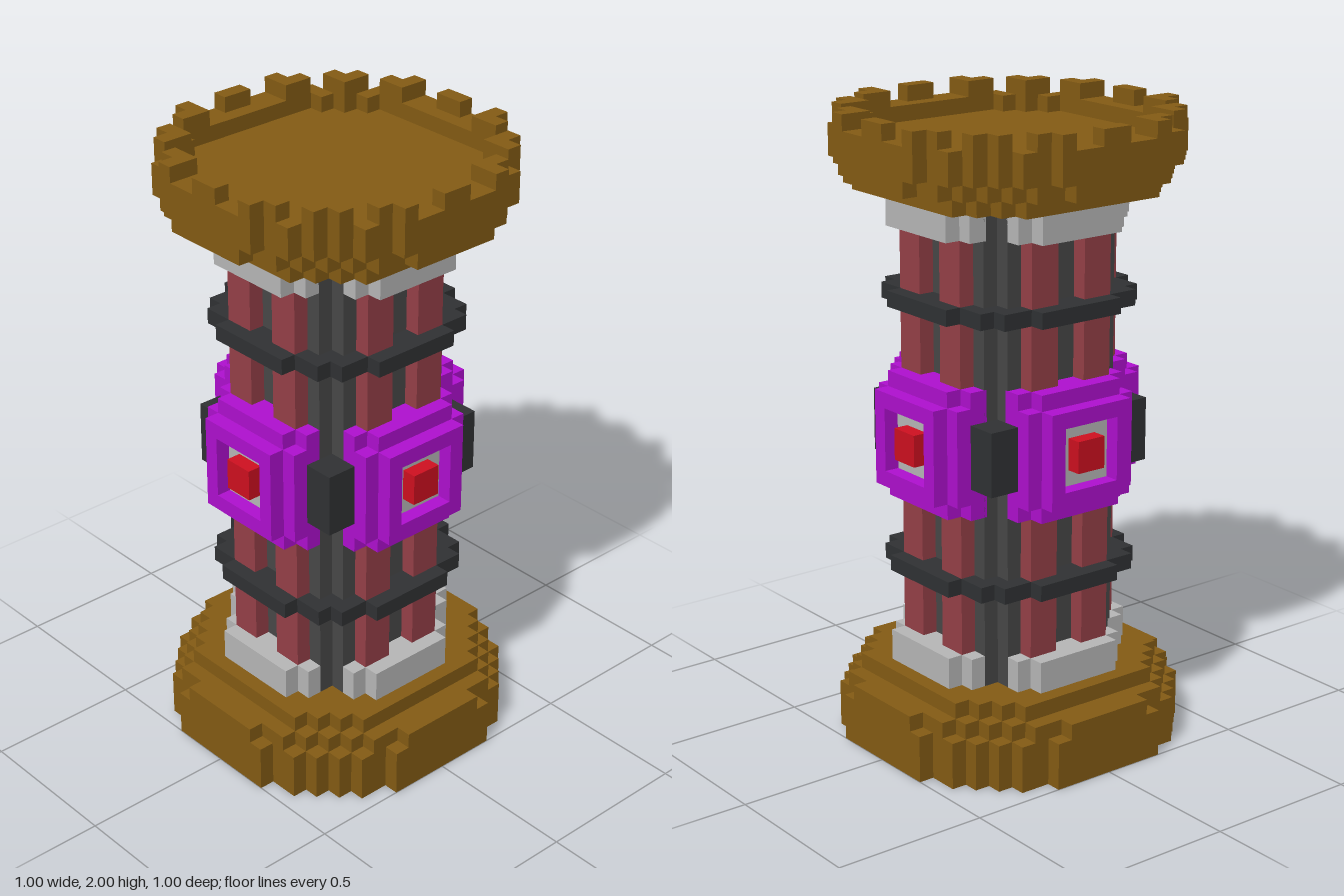
import * as THREE from 'three';

const mat = (color) => new THREE.MeshStandardMaterial({ color, flatShading: true });
const BROWN = mat(0x855c14), BRICK = mat(0x964048), DARK = mat(0x484848), BLACK = mat(0x303234),
  PURPLE = mat(0xb010d0), GREY = mat(0xb8b8b8), RED = mat(0xd01020);

// Box given by its min and max corners
function block(parent, name, m, x0, x1, y0, y1, z0, z1) {
  const mesh = new THREE.Mesh(new THREE.BoxGeometry(x1 - x0, y1 - y0, z1 - z0), m);
  mesh.position.set((x0 + x1) / 2, (y0 + y1) / 2, (z0 + z1) / 2);
  mesh.name = name;
  parent.add(mesh);
  return mesh;
}

// Four-fold stepped outline; rows are [outer z, half width], from outermost inward
function outline(rows) {
  const q = [];
  rows.forEach(([z, w], i) => {
    q.push([w, z]);
    q.push([w, i + 1 < rows.length ? rows[i + 1][0] : 0]);
  });
  q.pop();
  const pts = [];
  const add = (list, sx, sz) => list.forEach(([x, z]) => pts.push(new THREE.Vector2(x * sx, z * sz)));
  const r = [...q].reverse();
  add(r, 1, 1); add(q, -1, 1); add(r, -1, -1); add(q, 1, -1);
  return pts;
}

// Horizontal stepped slab, optionally hollow
function slab(parent, name, m, rows, y0, y1, holeRows) {
  const shape = new THREE.Shape(outline(rows));
  if (holeRows) shape.holes.push(new THREE.Path(outline(holeRows)));
  const geo = new THREE.ExtrudeGeometry(shape, { depth: y1 - y0, bevelEnabled: false });
  geo.rotateX(-Math.PI / 2);
  const mesh = new THREE.Mesh(geo, m);
  mesh.position.y = y0;
  mesh.name = name;
  parent.add(mesh);
}

const WIDE = [[0.5, 0.2], [0.45, 0.3], [0.4, 0.35], [0.35, 0.4], [0.3, 0.45], [0.2, 0.5]];
const MID = [[0.5, 0.15], [0.45, 0.25], [0.4, 0.3], [0.35, 0.35], [0.3, 0.4], [0.25, 0.45], [0.15, 0.5]];
const NARROW = [[0.4, 0.25], [0.35, 0.3], [0.3, 0.35], [0.25, 0.4]];
const BAND = [[0.35, 0.15], [0.3, 0.25], [0.25, 0.3], [0.15, 0.35]];
const CORE = [[0.25, 0.2], [0.2, 0.25]];

// Everything that repeats on each of the four faces, built facing +z
function makeFace() {
  const f = new THREE.Group();
  for (const s of [-1, 1]) {
    block(f, 'brickStrip', BRICK, s * 0.1 - 0.05, s * 0.1 + 0.05, 0.25, 1.75, 0.24, 0.3);
  }
  // Collars at both ends of the shaft
  for (const y of [0.25, 1.65]) {
    block(f, 'collar', GREY, -0.2, 0.2, y, y + 0.1, 0.24, 0.3);
    block(f, 'collarFront', GREY, -0.15, 0.15, y, y + 0.1, 0.3, 0.35);
  }
  // Stepped panel with a framed jewel
  block(f, 'panelBack', PURPLE, -0.2, 0.2, 0.8, 1.2, 0.24, 0.3);
  block(f, 'panelTall', PURPLE, -0.15, 0.15, 0.8, 1.2, 0.3, 0.35);
  for (const s of [-1, 1]) {
    block(f, 'panelSide', PURPLE, s * 0.175 - 0.025, s * 0.175 + 0.025, 0.85, 1.15, 0.3, 0.35);
    block(f, 'frameSide', PURPLE, s * 0.125 - 0.025, s * 0.125 + 0.025, 0.85, 1.15, 0.35, 0.4);
    block(f, 'frameRail', PURPLE, -0.1, 0.1, 1 + s * 0.125 - 0.025, 1 + s * 0.125 + 0.025, 0.35, 0.4);
  }
  block(f, 'jewelPlate', GREY, -0.1, 0.1, 0.9, 1.1, 0.34, 0.352);
  block(f, 'jewel', RED, -0.05, 0.05, 0.95, 1.05, 0.35, 0.4);
  // Dark clasp on one corner
  block(f, 'cornerClasp', BLACK, 0.2, 0.3, 0.9, 1.1, 0.2, 0.3);
  // Merlons: centre, pair beside it, and one on the diagonal
  block(f, 'merlon', BROWN, -0.05, 0.05, 1.95, 2, 0.45, 0.5);
  for (const s of [-1, 1]) {
    block(f, 'merlon', BROWN, s * 0.175 - 0.025, s * 0.175 + 0.025, 1.95, 2, 0.4, 0.5);
    block(f, 'merlonStep', BROWN, s * 0.225 - 0.025, s * 0.225 + 0.025, 1.95, 2, 0.4, 0.45);
  }
  block(f, 'cornerMerlon', BROWN, 0.3, 0.35, 1.95, 2, 0.3, 0.4);
  block(f, 'cornerMerlonStep', BROWN, 0.35, 0.4, 1.95, 2, 0.3, 0.35);
  return f;
}

export function createModel() {
  const g = new THREE.Group();
  g.name = 'tower';
  // Base
  slab(g, 'base', BROWN, WIDE, 0, 0.15);
  slab(g, 'baseStep', BROWN, MID, 0.15, 0.2);
  slab(g, 'baseTop', BROWN, NARROW, 0.2, 0.25);
  // Shaft and bands
  slab(g, 'shaftCore', DARK, CORE, 0.25, 1.75);
  for (const y of [0.55, 1.4]) slab(g, 'band', BLACK, BAND, y, y + 0.05);
  // Crown with a sunken floor
  slab(g, 'crownUnderside', BROWN, NARROW, 1.75, 1.8);
  slab(g, 'crownStep', BROWN, MID, 1.8, 1.85);
  slab(g, 'crownFloor', BROWN, WIDE, 1.85, 1.9);
  slab(g, 'crownRim', BROWN, WIDE, 1.9, 1.95, NARROW);
  ['front', 'left', 'back', 'right'].forEach((name, i) => {
    const face = makeFace();
    face.name = name + 'Face';
    face.rotation.y = i * Math.PI / 2;
    g.add(face);
  });
  return g;
}
